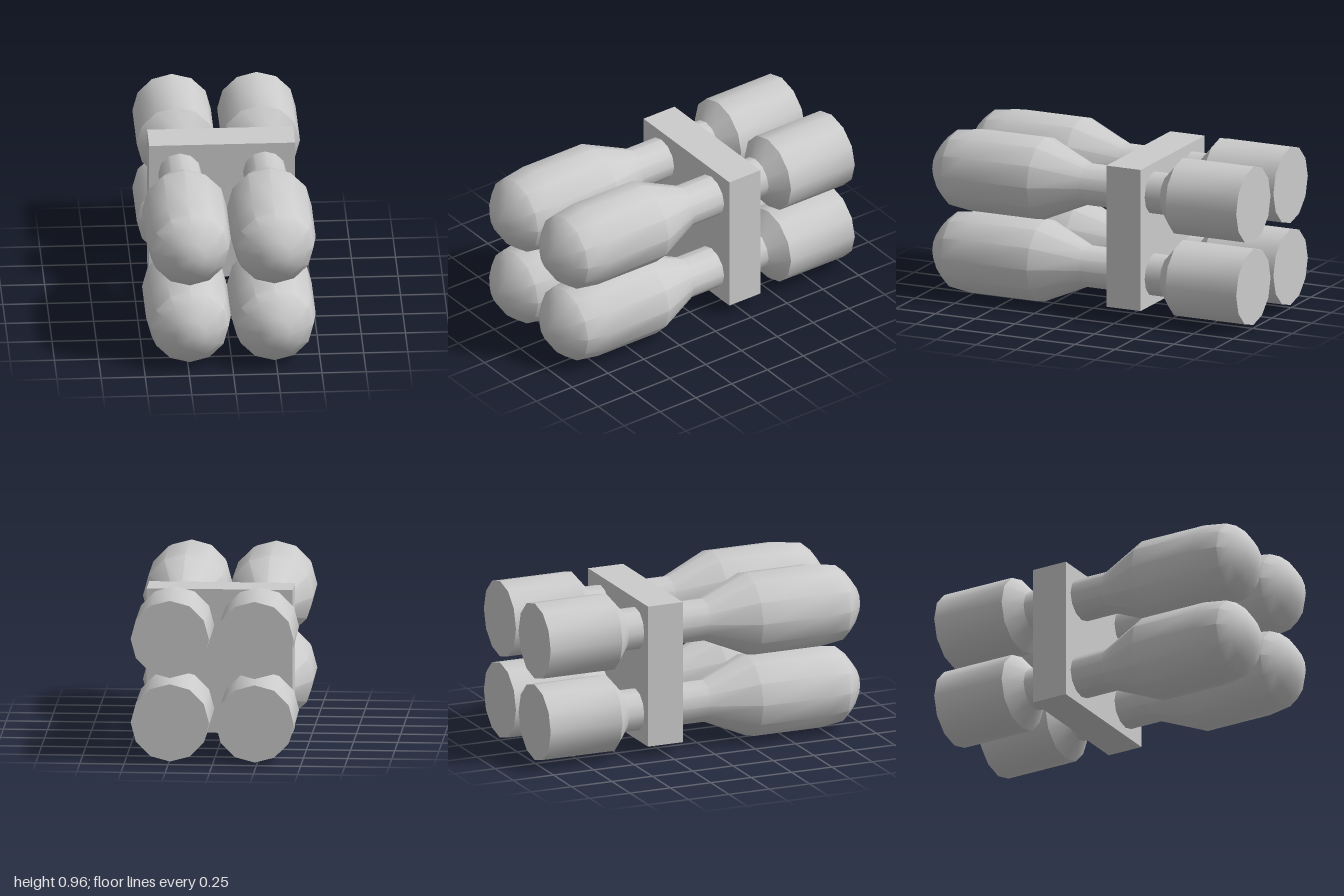
import * as THREE from 'three';
import { toCreasedNormals } from 'three/addons/utils/BufferGeometryUtils.js';

export function createModel() {
  const model = new THREE.Group();
  model.name = 'clusteredCanisters';
  const material = new THREE.MeshStandardMaterial({ color: 0xcccccc });

  // Canister outline from the flat tail to the rounded nose: [radius, z]
  const profile = [
    [0, -1], [0.222, -1], [0.222, -0.555], [0.122, -0.47],
    [0.122, 0.04], [0.24, 0.31], [0.24, 0.72],
    [0.22, 0.86], [0.17, 0.92], [0.09, 0.975], [0, 1],
  ].map(([r, z]) => new THREE.Vector2(r, z));
  const lathe = new THREE.LatheGeometry(profile, 12).rotateX(Math.PI / 2);
  const canisterGeometry = toCreasedNormals(lathe, 0.6);

  // Two by two cluster
  for (const y of [0.24, 0.72]) {
    for (const x of [-0.24, 0.24]) {
      const canister = new THREE.Mesh(canisterGeometry, material);
      canister.name = (y > 0.5 ? 'upper' : 'lower') + (x > 0 ? 'Left' : 'Right') + 'Canister';
      canister.position.set(x, y, 0);
      model.add(canister);
    }
  }

  // Square plate clamping the necks together
  const plate = new THREE.Mesh(new THREE.BoxGeometry(0.826, 0.826, 0.216), material);
  plate.name = 'mountingPlate';
  plate.position.set(0, 0.48, -0.268);
  model.add(plate);

  return model;
}
